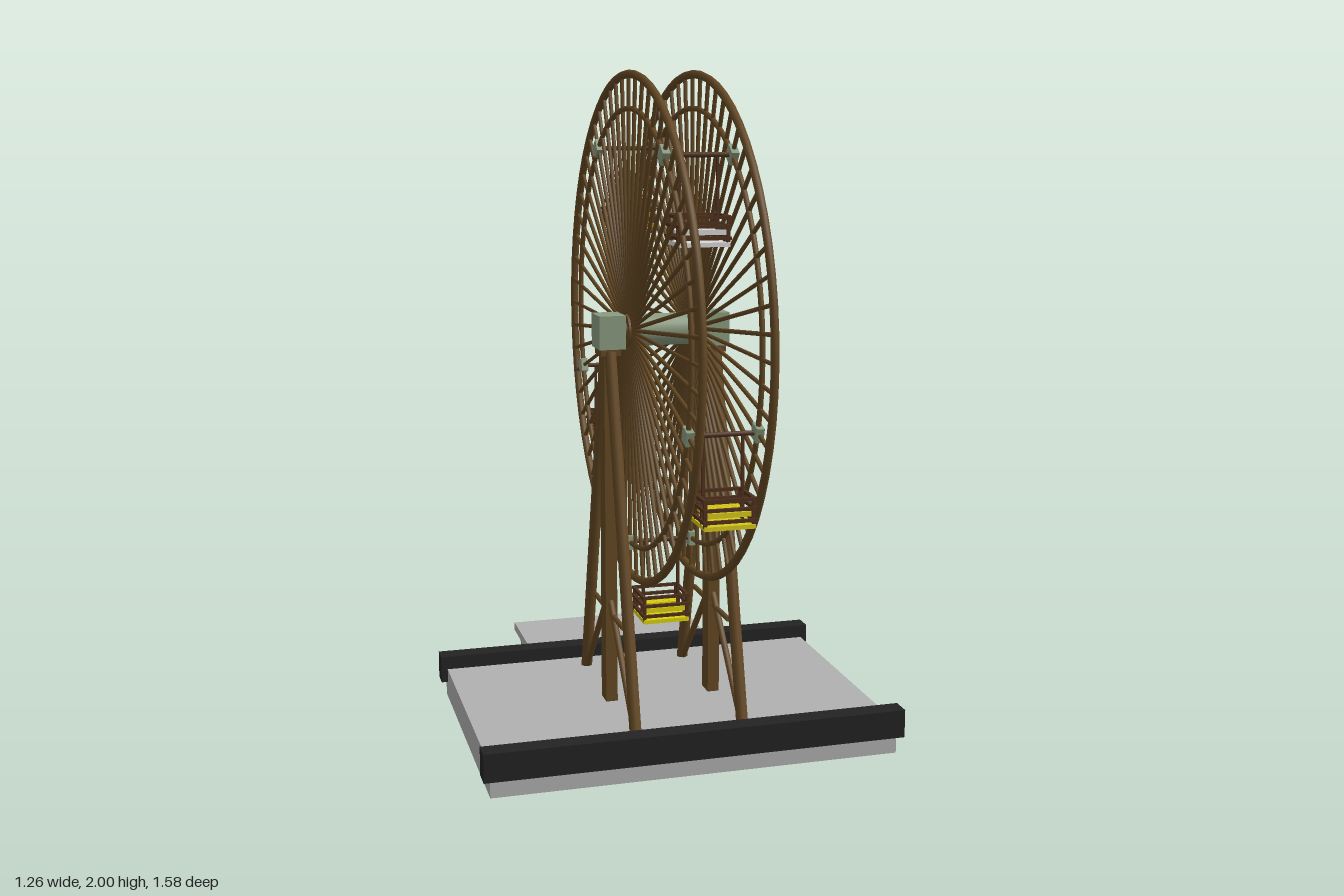
import * as THREE from 'three';

const mat = (name, color) => {
  const m = new THREE.MeshStandardMaterial({ color });
  m.name = name;
  return m;
};

const CY = 1.24, CZ = 0.03; // wheel centre
const RIM = 0.748, INNER = 0.65;

export function createModel() {
  const wood = mat('wood', 0x644823);
  const darkWood = mat('dark wood', 0x4f301c);
  const green = mat('grey green', 0x8a9c80);
  const black = mat('black', 0x232323);
  const grey = mat('concrete grey', 0xb0b0b0);
  const seatColors = [
    mat('yellow', 0xdcd010), mat('lemon', 0xd6c81a), mat('white', 0xd8d8d8),
    mat('orange', 0xc8940f), mat('gold', 0xd4a814),
  ];

  const model = new THREE.Group();
  model.name = 'ferrisWheel';

  const add = (parent, name, geo, material, x = 0, y = 0, z = 0) => {
    const m = new THREE.Mesh(geo, material);
    m.name = name;
    m.position.set(x, y, z);
    parent.add(m);
    return m;
  };
  const box = (parent, name, material, w, h, d, x, y, z) =>
    add(parent, name, new THREE.BoxGeometry(w, h, d), material, x, y, z);
  // round bar between two points
  const bar = (parent, name, material, r, a, b, sides = 8) => {
    const p = new THREE.Vector3(...a), q = new THREE.Vector3(...b);
    const dir = q.clone().sub(p);
    const m = add(parent, name, new THREE.CylinderGeometry(r, r, dir.length(), sides), material);
    m.position.copy(p).add(q).multiplyScalar(0.5);
    m.quaternion.setFromUnitVectors(new THREE.Vector3(0, 1, 0), dir.normalize());
    return m;
  };

  // base, kerbs and boarding platform
  box(model, 'base', grey, 1.22, 0.095, 0.85, 0, 0.0475, 0.03);
  for (const z of [0.44, -0.39]) box(model, 'kerb', black, 1.26, 0.085, 0.06, 0, 0.0945, z);
  box(model, 'platform', grey, 0.62, 0.028, 0.39, 0, 0.077, -0.597);
  for (const s of [-1, 1]) box(model, 'platformLeg', green, 0.025, 0.064, 0.025, s * 0.28, 0.032, -0.76);

  // support towers
  for (const s of [-1, 1]) {
    const tower = new THREE.Group();
    tower.name = 'tower';
    model.add(tower);
    const x = s * 0.163;
    box(tower, 'post', wood, 0.036, 1.191, 0.06, x, 0.5945, CZ);
    box(tower, 'postCap', wood, 0.06, 0.02, 0.08, x, 1.18, CZ);
    box(tower, 'bearing', green, 0.08, 0.1, 0.1, s * 0.16, CY, CZ);
    bar(tower, 'crossBeam', wood, 0.008, [x, 0.375, CZ + 0.177], [x, 0.375, CZ - 0.177]);
    for (const t of [-1, 1]) {
      bar(tower, 'leg', wood, 0.018, [x, 1.18, CZ + t * 0.03], [x, 0.09, CZ + t * 0.318], 12);
      bar(tower, 'brace', wood, 0.01, [x, 0.1, CZ + t * 0.305], [x, 0.46, CZ - t * 0.02]);
    }
  }

  // drum and axle
  add(model, 'drum', new THREE.CylinderGeometry(0.048, 0.048, 0.17, 24), green, 0, CY, CZ).rotation.z = Math.PI / 2;
  bar(model, 'axle', wood, 0.028, [-0.14, CY, CZ], [0.14, CY, CZ], 16);

  // two spoked wheels
  const spokeCount = 60;
  const spokeGeo = new THREE.CylinderGeometry(0.0062, 0.0062, RIM - 0.02, 6);
  spokeGeo.translate(0, RIM / 2 + 0.01, 0);
  for (const s of [-1, 1]) {
    const wheel = new THREE.Group();
    wheel.name = 'wheel';
    wheel.position.set(s * 0.097, CY, CZ);
    model.add(wheel);
    add(wheel, 'outerRim', new THREE.TorusGeometry(RIM, 0.012, 8, 60), wood).rotation.y = Math.PI / 2;
    add(wheel, 'innerRim', new THREE.TorusGeometry(INNER, 0.008, 8, 60), wood).rotation.y = Math.PI / 2;
    add(wheel, 'hub', new THREE.CylinderGeometry(0.048, 0.048, 0.024, 24), wood).rotation.z = Math.PI / 2;
    for (let i = 0; i < spokeCount; i++) {
      add(wheel, 'spoke', spokeGeo, wood).rotation.x = (i / spokeCount) * Math.PI * 2;
    }
  }

  // hanging gondolas, starting at the bottom
  seatColors.forEach((paint, i) => {
    const a = (i / 5) * Math.PI * 2;
    const g = new THREE.Group();
    g.name = 'gondola';
    g.position.set(0, CY - INNER * Math.cos(a), CZ + INNER * Math.sin(a));
    model.add(g);
    bar(g, 'hangerBar', darkWood, 0.007, [-0.095, 0, 0], [0.095, 0, 0]);
    box(g, 'floor', paint, 0.142, 0.012, 0.138, 0, -0.239, 0);
    box(g, 'middleRail', darkWood, 0.142, 0.008, 0.01, 0, -0.185, 0);
    for (const s of [-1, 1]) {
      box(g, 'pivotBlock', green, 0.022, 0.042, 0.042, s * 0.097, 0, 0).rotation.x = -a;
      box(g, 'hanger', darkWood, 0.008, 0.24, 0.008, s * 0.055, -0.12, 0);
      // frame rails around the car
      for (const y of [-0.165, -0.19, -0.222]) {
        const half = y > -0.17 ? 0.065 : 0.07;
        box(g, 'sideRail', darkWood, 0.01, 0.009, half * 2, s * 0.069, y, 0);
        box(g, 'endRail', darkWood, 0.142, 0.009, 0.009, 0, y, s * (half - 0.004));
      }
      for (const t of [-1, 1]) {
        box(g, 'cornerPost', darkWood, 0.009, 0.075, 0.009, s * 0.067, -0.2, t * 0.06);
        box(g, 'innerPost', darkWood, 0.007, 0.05, 0.007, s * 0.067, -0.21, t * 0.028);
      }
      // slatted bench
      for (let k = 0; k < 4; k++) {
        box(g, 'benchSlat', paint, 0.122, 0.008, 0.011, 0, -0.208, s * (0.015 + k * 0.0128));
      }
      box(g, 'benchBack', paint, 0.122, 0.014, 0.005, 0, -0.206, s * 0.059);
    }
  });

  return model;
}
